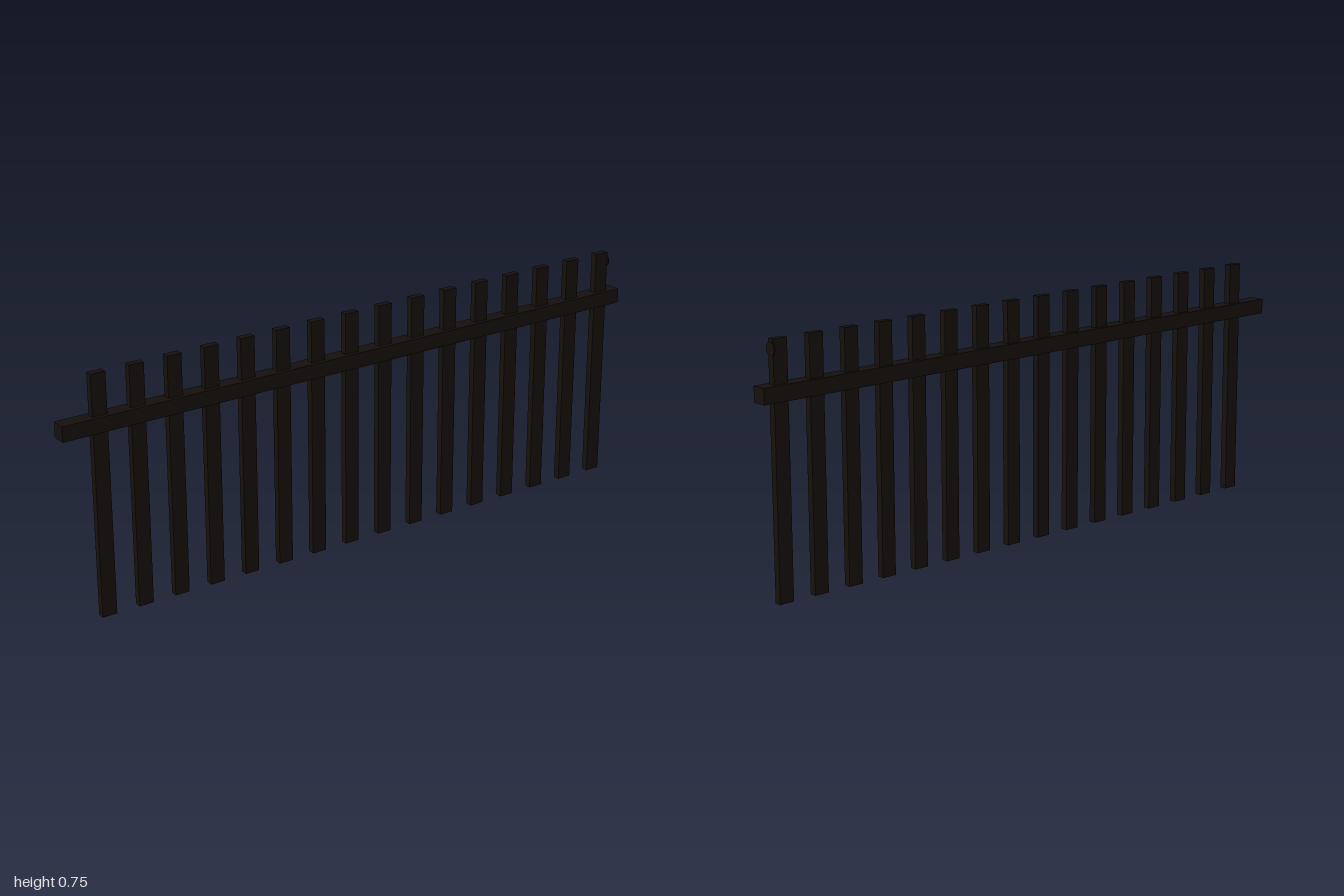
import * as THREE from 'three';

export function createModel() {
  const group = new THREE.Group();
  group.name = 'fence';
  const wood = new THREE.MeshStandardMaterial({ color: 0x15100c });

  const add = (name, geometry, x, y, z = 0) => {
    const mesh = new THREE.Mesh(geometry, wood);
    mesh.name = name;
    mesh.position.set(x, y, z);
    group.add(mesh);
    return mesh;
  };

  // Horizontal rail, square in section
  add('rail', new THREE.BoxGeometry(2, 0.047, 0.047), 0, 0.599);

  // Evenly spaced upright slats passing through the rail
  const count = 16, firstX = -0.876, lastX = 0.934;
  const slat = new THREE.BoxGeometry(0.047, 0.75, 0.022);
  for (let i = 0; i < count; i++) {
    const x = THREE.MathUtils.lerp(firstX, lastX, i / (count - 1));
    add(`slat${i + 1}`, slat, x, 0.375);
  }

  // Thin round stud near the top of the end slat, facing along the rail
  const stud = new THREE.CylinderGeometry(0.019, 0.019, 0.004, 24);
  stud.rotateZ(Math.PI / 2);
  add('endStud', stud, lastX + 0.0235, 0.721);

  return group;
}
